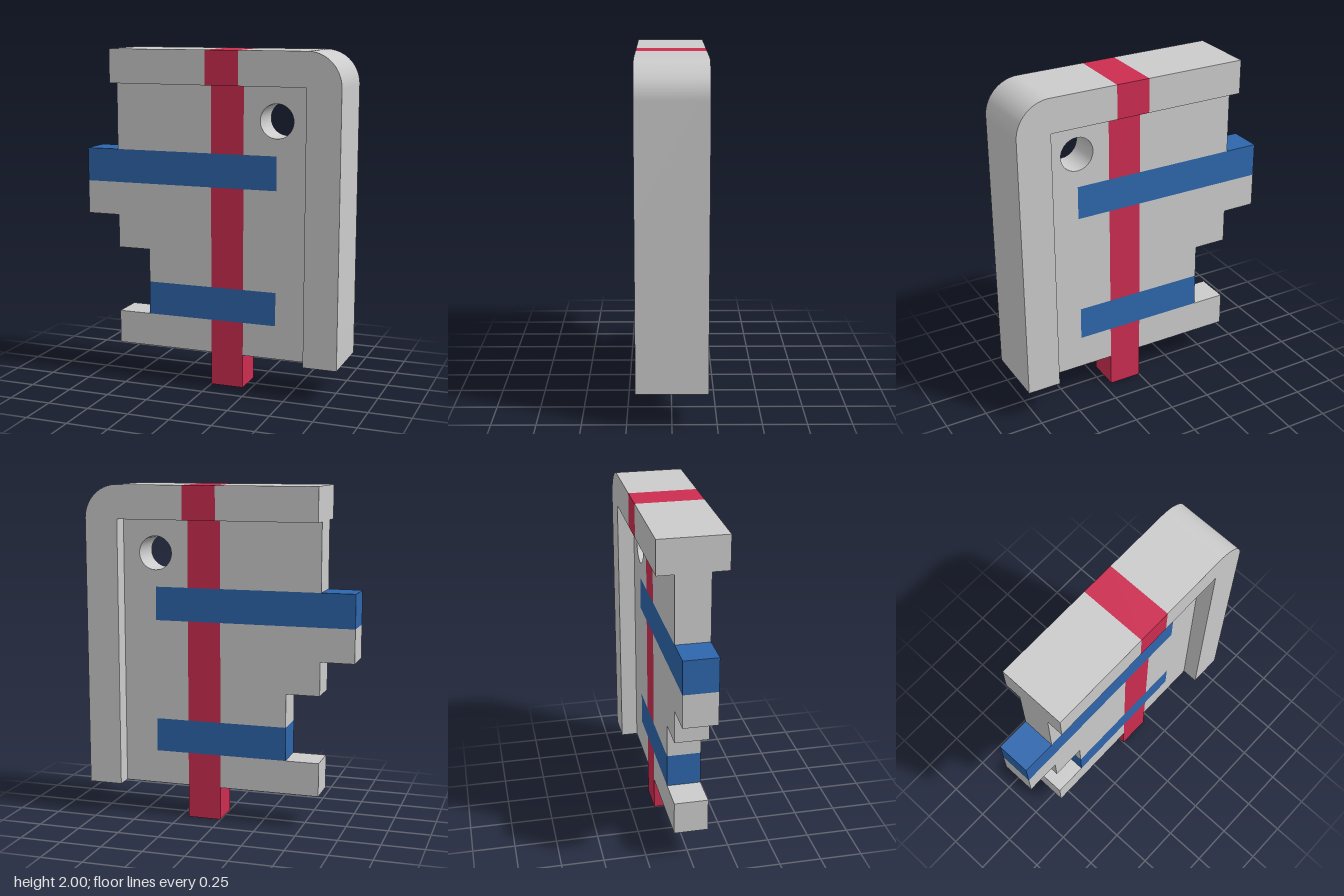
import * as THREE from 'three';
import { toCreasedNormals } from 'three/addons/utils/BufferGeometryUtils.js';

const THIN = 0.2; // plate and inlays
const THICK = 0.4; // raised rim, proud on both faces

const grey = new THREE.MeshStandardMaterial({ color: 0xcccccc });
const red = new THREE.MeshStandardMaterial({ color: 0xcc2d50 });
const blue = new THREE.MeshStandardMaterial({ color: 0x2e66ad });

export function createModel() {
  const group = new THREE.Group();

  const add = (name, geometry, material) => {
    const mesh = new THREE.Mesh(geometry, material);
    mesh.name = name;
    group.add(mesh);
    return mesh;
  };

  // Box given by its x and y ranges, centred on z = 0
  const block = (name, x0, x1, y0, y1, depth, material) =>
    add(name, new THREE.BoxGeometry(x1 - x0, y1 - y0, depth), material)
      .position.set((x0 + x1) / 2, (y0 + y1) / 2, 0);

  // Outline extruded along z, centred on z = 0
  const slab = (name, shape, depth, material) => {
    const geometry = new THREE.ExtrudeGeometry(shape, { depth, bevelEnabled: false, curveSegments: 24 });
    geometry.translate(0, 0, -depth / 2);
    add(name, toCreasedNormals(geometry, 0.5), material);
  };
  const outline = (points) => new THREE.Shape(points.map(([x, y]) => new THREE.Vector2(x, y)));

  // Plate, right of the upright stripe: notched for the bands, round hole
  const holedPlate = outline([
    [0.2, 0.2], [0.6, 0.2], [0.6, 1.8], [0.2, 1.8], [0.2, 1.4], [0.4, 1.4],
    [0.4, 1.2], [0.2, 1.2], [0.2, 0.6], [0.4, 0.6], [0.4, 0.4], [0.2, 0.4],
  ]);
  holedPlate.holes.push(new THREE.Path().absarc(0.4, 1.6, 0.1, 0, Math.PI * 2, true));
  slab('holedPlate', holedPlate, THIN, grey);

  // Plate, stepped edge side
  block('upperPlate', -0.6, 0, 1.4, 1.8, THIN, grey);
  slab('steppedPlate', outline([
    [-0.8, 1.2], [-0.8, 1], [-0.6, 1], [-0.6, 0.8], [-0.4, 0.8], [-0.4, 0.6], [0, 0.6], [0, 1.2],
  ]), THIN, grey);
  block('lowerPlate', -0.6, 0, 0.2, 0.4, THIN, grey);

  // Raised rim: top bar and side bar with a rounded corner
  block('topRim', -0.6, 0, 1.8, 2, THICK, grey);
  const corner = new THREE.Shape();
  corner.moveTo(0.2, 1.8);
  corner.lineTo(0.6, 1.8);
  corner.lineTo(0.6, 0.2);
  corner.lineTo(0.8, 0.2);
  corner.lineTo(0.8, 1.8);
  corner.absarc(0.6, 1.8, 0.2, 0, Math.PI / 2, false);
  corner.lineTo(0.2, 2);
  corner.closePath();
  slab('cornerRim', corner, THICK, grey);

  // Upright stripe, running out below as a peg and over the rim
  for (const [y0, y1] of [[0, 0.4], [0.6, 1.2], [1.4, 1.8]]) {
    block('uprightStripe', 0, 0.2, y0, y1, THIN, red);
  }
  block('rimStripe', 0, 0.2, 1.8, 2, THICK, red);

  // Cross bands
  block('upperBand', -0.8, 0.4, 1.2, 1.4, THIN, blue);
  block('lowerBand', -0.4, 0.4, 0.4, 0.6, THIN, blue);

  return group;
}
